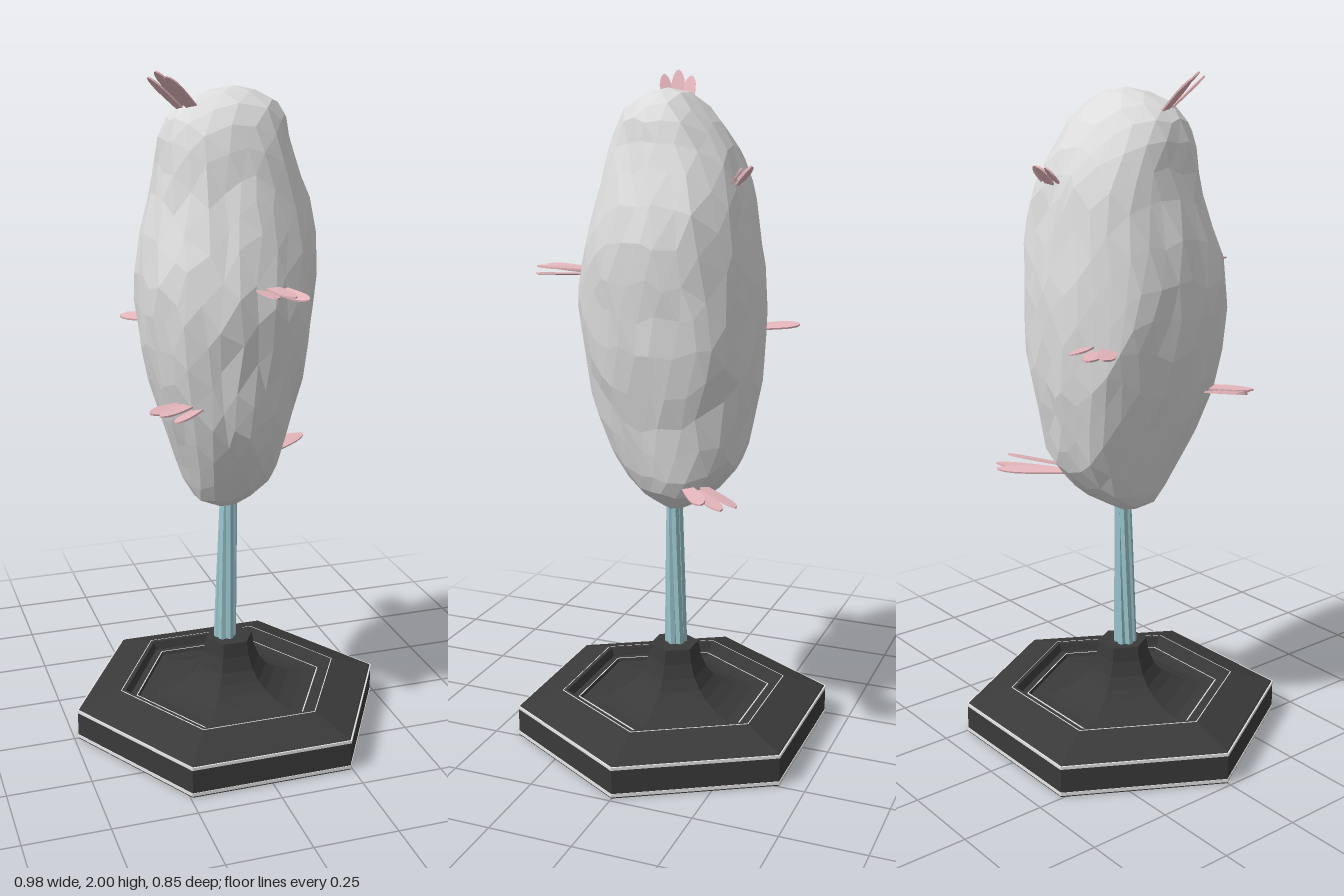
import * as THREE from 'three';

const paint = (name, color, side = THREE.FrontSide) => {
  const m = new THREE.MeshStandardMaterial({ color, side });
  m.name = name;
  return m;
};

// Give every face its own normal
function faceted(geo) {
  const g = geo.index ? geo.toNonIndexed() : geo;
  g.computeVertexNormals();
  return g;
}

function addMesh(parent, name, geo, mat) {
  const m = new THREE.Mesh(geo, mat);
  m.name = name;
  parent.add(m);
  return m;
}

// Six-sided solid of revolution with corners on the x axis
const hexLathe = (pts) =>
  faceted(new THREE.LatheGeometry(pts.map(([r, y]) => new THREE.Vector2(r, y)), 6, Math.PI / 2));

// Rock outline by height: y, min x, max x, min z, max z
const OUTLINE = [
  [0.713, -0.02, 0.01, -0.01, 0.01],
  [0.74, -0.1, 0.05, -0.06, 0.07],
  [0.8, -0.135, 0.14, -0.15, 0.12],
  [0.9, -0.168, 0.172, -0.218, 0.188],
  [1.0, -0.202, 0.182, -0.238, 0.24],
  [1.1, -0.232, 0.204, -0.252, 0.267],
  [1.2, -0.258, 0.238, -0.262, 0.27],
  [1.3, -0.268, 0.244, -0.268, 0.287],
  [1.4, -0.273, 0.252, -0.258, 0.292],
  [1.5, -0.26, 0.26, -0.248, 0.273],
  [1.6, -0.238, 0.257, -0.233, 0.233],
  [1.7, -0.213, 0.22, -0.222, 0.207],
  [1.8, -0.202, 0.178, -0.175, 0.188],
  [1.87, -0.182, 0.162, -0.118, 0.162],
  [1.91, -0.145, 0.135, -0.08, 0.135],
  [1.945, -0.07, 0.07, -0.04, 0.07],
  [1.957, 0.0, 0.01, 0.01, 0.02],
];

function outlineAt(y) {
  let i = 0;
  while (i < OUTLINE.length - 2 && y > OUTLINE[i + 1][0]) i++;
  const a = OUTLINE[i], b = OUTLINE[i + 1];
  const t = THREE.MathUtils.clamp((y - a[0]) / (b[0] - a[0]), 0, 1);
  return a.map((v, k) => v + (b[k] - v) * t);
}

// Continuous bumps, about -1 to 1
const bumps = (v, seed) =>
  (Math.sin(13 * v.x + 7 * v.y + seed) + Math.sin(11 * v.y - 9 * v.z + 2 * seed)
    + Math.sin(14 * v.z + 8 * v.x + 3 * seed)) / 2.4;

function rockGeometry() {
  const g = new THREE.IcosahedronGeometry(1, 5);
  const p = g.attributes.position;
  const v = new THREE.Vector3();
  for (let i = 0; i < p.count; i++) {
    v.fromBufferAttribute(p, i).normalize();
    const y = 1.335 + 0.622 * v.y;
    const a = Math.atan2(v.z, v.x) + 0.06 * bumps(v, 1);
    const [, x0, x1, z0, z1] = outlineAt(y);
    const c = Math.cos(a), s = Math.sin(a);
    // Squared oval, fuller at the back left than the front left, with shallow dents
    const k = Math.pow(Math.abs(c) ** 2.4 + Math.abs(s) ** 2.4, -1 / 2.4);
    const r = k * (0.998 + 0.026 * bumps(v, 5)) * (1 - 0.11 * Math.sin(2 * a) * Math.max(0, c));
    p.setXYZ(i,
      (x0 + x1) / 2 + (x1 - x0) / 2 * r * c,
      y + 0.022 * bumps(v, 9) * (1 - v.y * v.y),
      (z0 + z1) / 2 + (z1 - z0) / 2 * r * s);
  }
  return faceted(g);
}

// Flat blade along +z, widest past the middle, with a rounded tip
function bladeGeometry(length, width) {
  const h = width / 2;
  const shape = new THREE.Shape();
  shape.moveTo(-h * 0.7, 0);
  shape.lineTo(h * 0.7, 0);
  shape.quadraticCurveTo(h * 1.05, length * 0.4, h, length * 0.7);
  shape.quadraticCurveTo(h * 0.85, length * 0.95, h * 0.15, length);
  shape.quadraticCurveTo(-h * 0.7, length * 0.97, -h, length * 0.7);
  shape.quadraticCurveTo(-h * 1.05, length * 0.4, -h * 0.7, 0);
  const geo = new THREE.ExtrudeGeometry(shape, { depth: 0.005, bevelEnabled: false, curveSegments: 4 });
  return faceted(geo.translate(0, 0, -0.0025).rotateX(Math.PI / 2));
}

// A fan of overlapping blades growing from root along dir, spread sideways
function bladeCluster(root, dir, side, length, width, mat) {
  const group = new THREE.Group();
  const zAxis = new THREE.Vector3(...dir).normalize();
  const xAxis = new THREE.Vector3(...side);
  xAxis.addScaledVector(zAxis, -xAxis.dot(zAxis)).normalize();
  const yAxis = new THREE.Vector3().crossVectors(zAxis, xAxis);
  group.quaternion.setFromRotationMatrix(new THREE.Matrix4().makeBasis(xAxis, yAxis, zAxis));
  group.position.set(...root);
  const sizes = [0.94, 1, 0.92];
  sizes.forEach((size, i) => {
    const blade = addMesh(group, 'blade', bladeGeometry(length * size, width), mat);
    blade.position.set((i - 1) * width * 0.55, (i % 2) * 0.008, 0);
    blade.rotation.set((i - 1) * 0.04, (i - 1) * 0.12, (i - 1) * 0.2);
  });
  return group;
}

export function createModel() {
  const model = new THREE.Group();
  const black = paint('charcoal', 0x3a3a3a, THREE.DoubleSide);
  const white = paint('paleTrim', 0xf0eeee, THREE.DoubleSide);
  const grey = paint('stoneGrey', 0xdcdcdc);
  const pink = paint('dustyPink', 0xe4b6bb);
  const teal = paint('paleTeal', 0x9ac6ce);

  // Hollow hexagonal base with recessed top and flared socket
  addMesh(model, 'base', hexLathe([
    [0.465, 0.05], [0.47, 0], [0.487, 0], [0.487, 0.095], [0.48, 0.1], [0.35, 0.14],
    [0.335, 0.14], [0.325, 0.115], [0.3, 0.115], [0.295, 0.105], [0.25, 0.108], [0.2, 0.12],
    [0.155, 0.14], [0.125, 0.162], [0.1, 0.193], [0.083, 0.235], [0.075, 0.28], [0, 0.28],
  ]), black);

  // Thin pale lines on the base edges: radius, height, band height, lip width
  for (const [r, y, h, w] of [
    [0.489, 0.014, 0.01, 0.004], [0.489, 0.097, 0.009, 0.005],
    [0.35, 0.141, 0.003, 0.003], [0.301, 0.117, 0.004, 0.004],
  ]) {
    addMesh(model, 'trimLine', hexLathe([[r, y - h], [r, y], [r - w, y]]), white);
  }

  // Stem of intertwined strands
  const stem = new THREE.Group();
  stem.name = 'stem';
  model.add(stem);
  for (let i = 0; i < 6; i++) {
    const pts = [];
    for (let k = 0; k <= 5; k++) {
      const a = (i / 6) * Math.PI * 2 + k * 0.14;
      const r = 0.024 - 0.0022 * k;
      pts.push(new THREE.Vector3(Math.cos(a) * r - 0.016 * (1 - k / 5), 0.16 + k * 0.125, Math.sin(a) * r));
    }
    const geo = new THREE.TubeGeometry(new THREE.CatmullRomCurve3(pts), 10, 0.0135, 6);
    addMesh(stem, 'strand', faceted(geo), teal);
  }

  addMesh(model, 'rock', rockGeometry(), grey);

  // Blade clusters: name, root, direction, sideways, length, width
  const clusters = [
    ['topBlades', [-0.115, 1.88, 0.045], [-0.72, 0.68, 0.2], [0.45, 0.25, 1], 0.172, 0.038],
    ['frontBlades', [0.035, 1.427, 0.23], [0.06, 0.02, 1], [1, 0, 0], 0.19, 0.046],
    ['rightFrontBlades', [-0.15, 1.09, 0.165], [-0.8, 0, 0.6], [0.6, 0, 0.8], 0.165, 0.046],
    ['leftLowBlades', [0.12, 0.832, -0.11], [0.78, 0.04, -0.64], [0.64, 0, 0.78], 0.23, 0.043],
    ['rightBackBlades', [-0.14, 1.268, -0.19], [-0.62, 0, -0.78], [0.78, 0, -0.62], 0.15, 0.05],
    ['backTopBlades', [0.06, 1.68, -0.185], [0.05, 0.74, -0.6], [1, 0, 0], 0.095, 0.042],
  ];
  for (const [name, root, dir, side, length, width] of clusters) {
    const c = bladeCluster(root, dir, side, length, width, pink);
    c.name = name;
    model.add(c);
  }
  return model;
}
